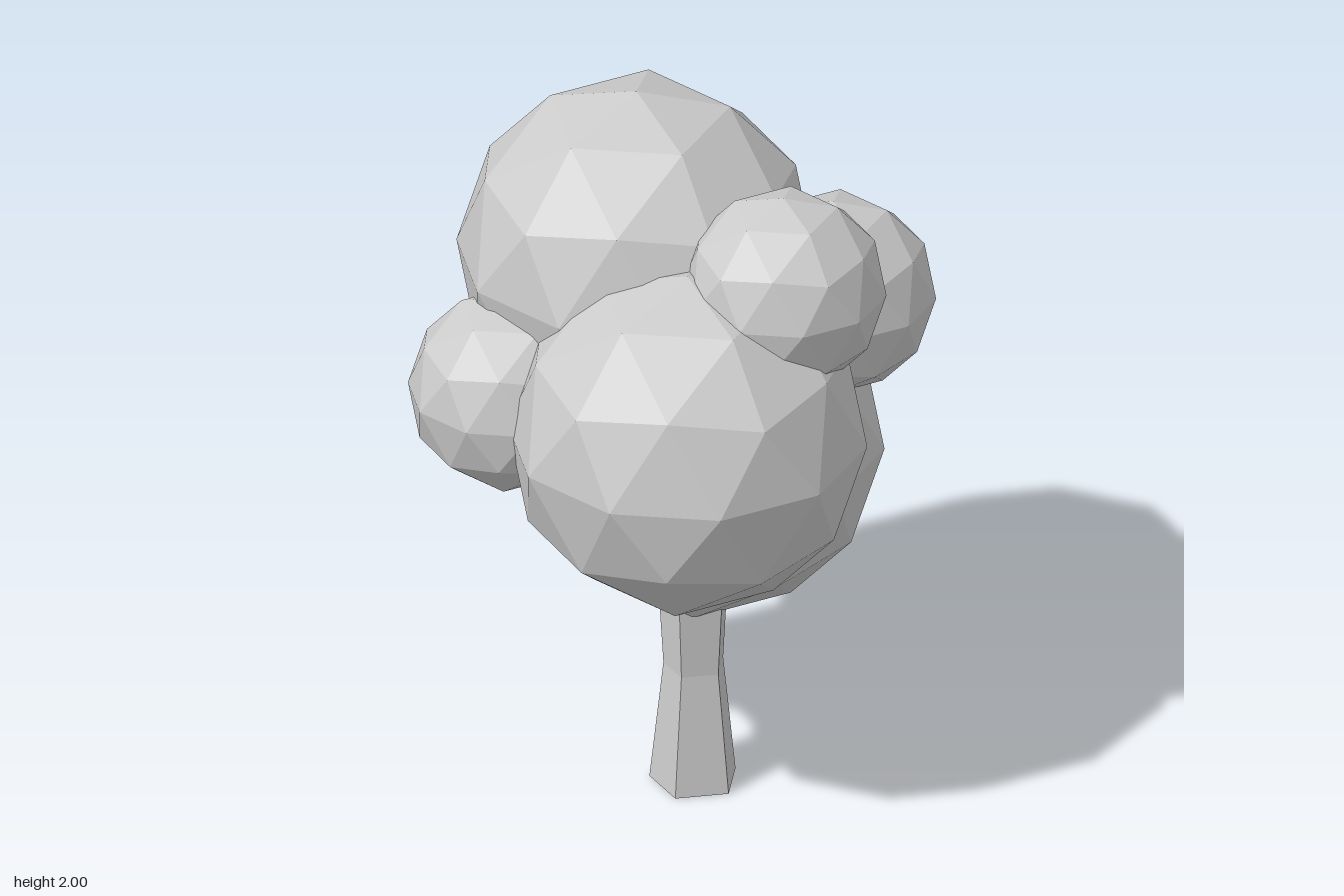
import * as THREE from 'three';

const material = new THREE.MeshStandardMaterial({ color: 0xcccccc, flatShading: true });

function flat(geometry) {
  const g = geometry.index ? geometry.toNonIndexed() : geometry;
  g.computeVertexNormals();
  return g;
}

// Five-sided trunk, narrow in the middle and flared at the foot
function createTrunk() {
  const profile = [[0, 0], [0.127, 0], [0.088, 0.36], [0.101, 0.58], [0.108, 0.7], [0, 0.7]]
    .map(([r, y]) => new THREE.Vector2(r, y));
  const trunk = new THREE.Mesh(flat(new THREE.LatheGeometry(profile, 5, Math.PI)), material);
  trunk.name = 'trunk';
  trunk.position.set(0.035, 0, 0.068);
  return trunk;
}

// Faceted ball of leaves, turned so that one corner points straight up
function createFoliage(name, radius, x, y, z) {
  const geometry = new THREE.IcosahedronGeometry(radius, 1);
  geometry.rotateZ(-Math.atan(2 / (1 + Math.sqrt(5))));
  const ball = new THREE.Mesh(flat(geometry), material);
  ball.name = name;
  ball.position.set(x, y, z);
  return ball;
}

export function createModel() {
  const tree = new THREE.Group();
  tree.name = 'tree';
  tree.add(createTrunk());

  const crown = new THREE.Group();
  crown.name = 'crown';
  const balls = [
    ['topFoliage', 0.5, -0.07, 1.5, -0.25],
    ['frontFoliage', 0.5, -0.02, 1.18, 0.245],
    ['lowerFoliage', 0.5, 0.095, 0.97, -0.11],
    ['rightSmallFoliage', 0.285, -0.453, 1.19, -0.09],
    ['leftSmallFoliage', 0.285, 0.45, 1.41, -0.075],
    ['frontSmallFoliage', 0.285, 0.255, 1.6, 0.223],
  ];
  for (const ball of balls) crown.add(createFoliage(...ball));
  tree.add(crown);
  return tree;
}
